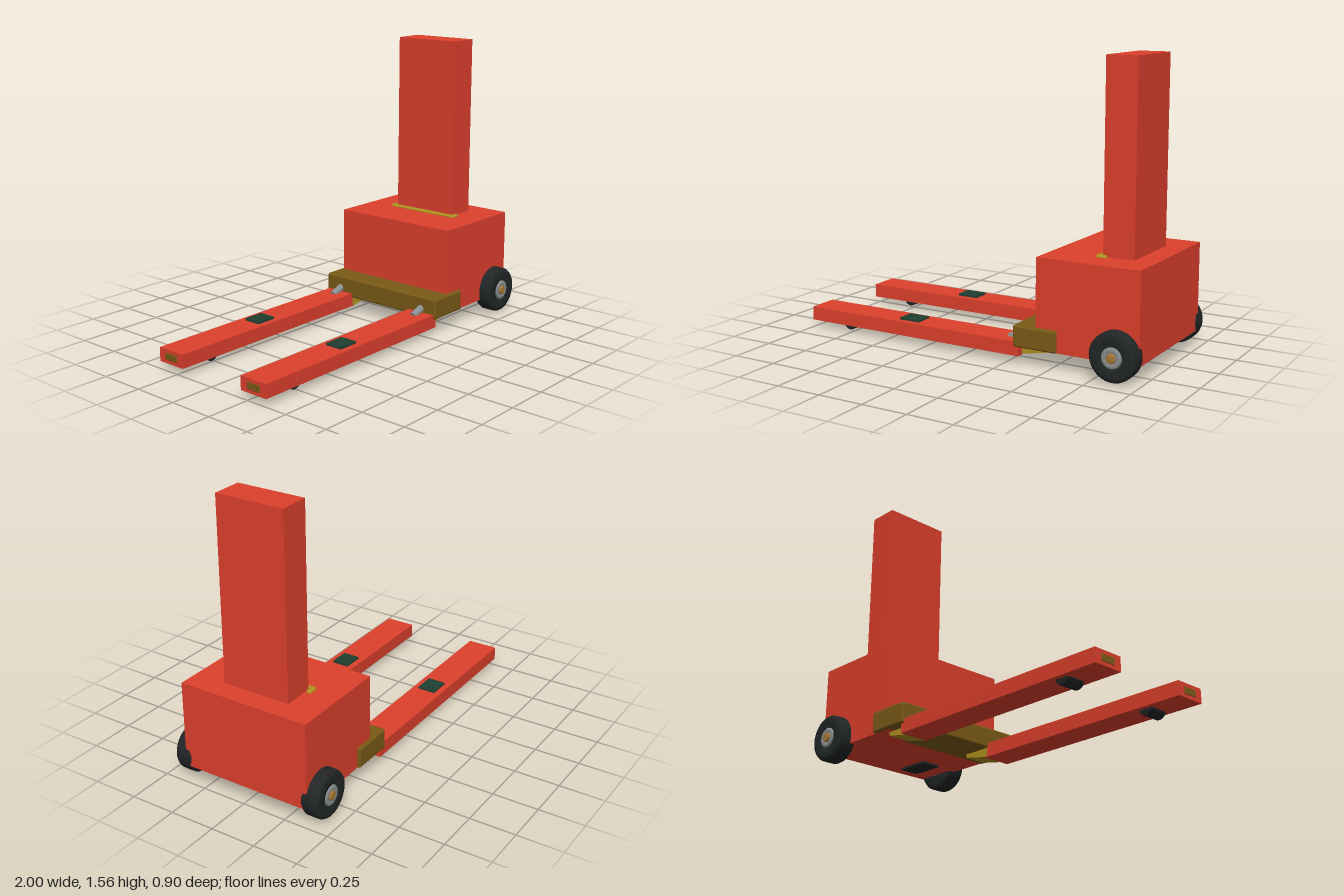
import * as THREE from 'three';
import { RoundedBoxGeometry } from 'three/addons/geometries/RoundedBoxGeometry.js';

const mat = (color) => new THREE.MeshStandardMaterial({ color });
const RED = mat(0xdd3f2c), BROWN = mat(0x7a5a16), YELLOW = mat(0xb0901f);
const BLACK = mat(0x222626), GREY = mat(0x8a8f90), GREEN = mat(0x1f4030), BRASS = mat(0xa87a35);

export function createModel() {
  const model = new THREE.Group();
  model.name = 'palletStacker';

  const add = (name, geometry, material, x = 0, y = 0, z = 0, parent = model) => {
    const mesh = new THREE.Mesh(geometry, material);
    mesh.name = name;
    mesh.position.set(x, y, z);
    parent.add(mesh);
    return mesh;
  };
  // Box given by its limits along each axis
  const box = (name, material, [x0, x1], [y0, y1], [z0, z1], radius = 0) => {
    const size = [x1 - x0, y1 - y0, z1 - z0];
    const geometry = radius ? new RoundedBoxGeometry(...size, 3, radius) : new THREE.BoxGeometry(...size);
    return add(name, geometry, material, (x0 + x1) / 2, (y0 + y1) / 2, (z0 + z1) / 2);
  };
  // Solid of revolution about the z axis; points are [radius, z]
  const turned = (points) => new THREE.LatheGeometry(points.map(([r, h]) => new THREE.Vector2(r, h)), 40).rotateX(Math.PI / 2);

  // Body and mast
  box('body', RED, [0.42, 0.985], [0.095, 0.57], [-0.373, 0.373]);
  box('mast', RED, [0.7, 0.87], [0.57, 1.565], [-0.193, 0.193]);

  // Carriage joining the forks to the body
  box('carriage', BROWN, [0.295, 0.54], [0.095, 0.21], [-0.391, 0.391], 0.012);

  // Handle lying on the body around the foot of the mast
  box('handleBar', YELLOW, [0.67, 0.7], [0.555, 0.583], [-0.222, 0.222], 0.012);
  for (const s of [-1, 1]) {
    const z = s * 0.21;
    box('handleEnd', YELLOW, [0.67, 0.73], [0.555, 0.583], [z - 0.016, z + 0.016], 0.012);
  }

  // Pad beneath the body
  box('groundPad', BLACK, [0.52, 0.7], [0.004, 0.015], [-0.055, 0.055]);

  // Tapered bracket section
  const bracketShape = new THREE.Shape([[0.3, 0.05], [0.33, 0.05], [0.46, 0.075], [0.468, 0.1], [0.3, 0.1]]
    .map(([x, y]) => new THREE.Vector2(x, y)));
  const bracketGeometry = new THREE.ExtrudeGeometry(bracketShape, { depth: 0.13, bevelEnabled: false }).translate(0, 0, -0.065);

  const tyre = turned([[0.05, -0.053], [0.1, -0.053], [0.118, -0.048], [0.126, -0.035], [0.127, 0],
    [0.126, 0.035], [0.118, 0.048], [0.1, 0.053], [0.06, 0.051], [0.053, 0.042], [0, 0.042]]);
  const hub = turned([[0, -0.05], [0.054, -0.05], [0.054, 0.05], [0.046, 0.055], [0.032, 0.055], [0.028, 0.05], [0, 0.05]]);
  const cap = turned([[0.025, 0], [0.025, 0.058], [0.02, 0.061], [0, 0.061]]);
  const roller = turned([[0, -0.057], [0.036, -0.057], [0.042, -0.05], [0.042, 0.05], [0.036, 0.057], [0, 0.057]]);

  // Forks, fittings and drive wheels, mirrored across z
  for (const s of [-1, 1]) {
    const z = s * 0.291;
    box('fork', RED, [-1, 0.32], [0.045, 0.12], [z - 0.085, z + 0.085]);
    box('forkTipInsert', BROWN, [-1.002, -0.985], [0.062, 0.103], [z - 0.045, z + 0.045], 0.006);
    box('forkPad', GREEN, [-0.43, -0.31], [0.119, 0.131], [z - 0.05, z + 0.05]);
    add('forkRoller', roller, BLACK, -0.77, 0.055, z);
    add('forkBracket', bracketGeometry, YELLOW, 0, 0, s * 0.27);

    // Sloping pin between carriage and fork
    const pin = add('forkPin', new THREE.CylinderGeometry(0.021, 0.021, 0.1, 20), GREY, 0.275, 0.131, z);
    pin.rotation.z = -1.21;

    const wheel = new THREE.Group();
    wheel.name = 'driveWheel';
    wheel.position.set(0.868, 0.14, s * 0.388);
    if (s < 0) wheel.rotation.y = Math.PI;
    add('tyre', tyre, BLACK, 0, 0, 0, wheel);
    add('hub', hub, GREY, 0, 0, 0, wheel);
    add('hubCap', cap, BRASS, 0, 0, 0, wheel);
    model.add(wheel);
  }

  return model;
}
